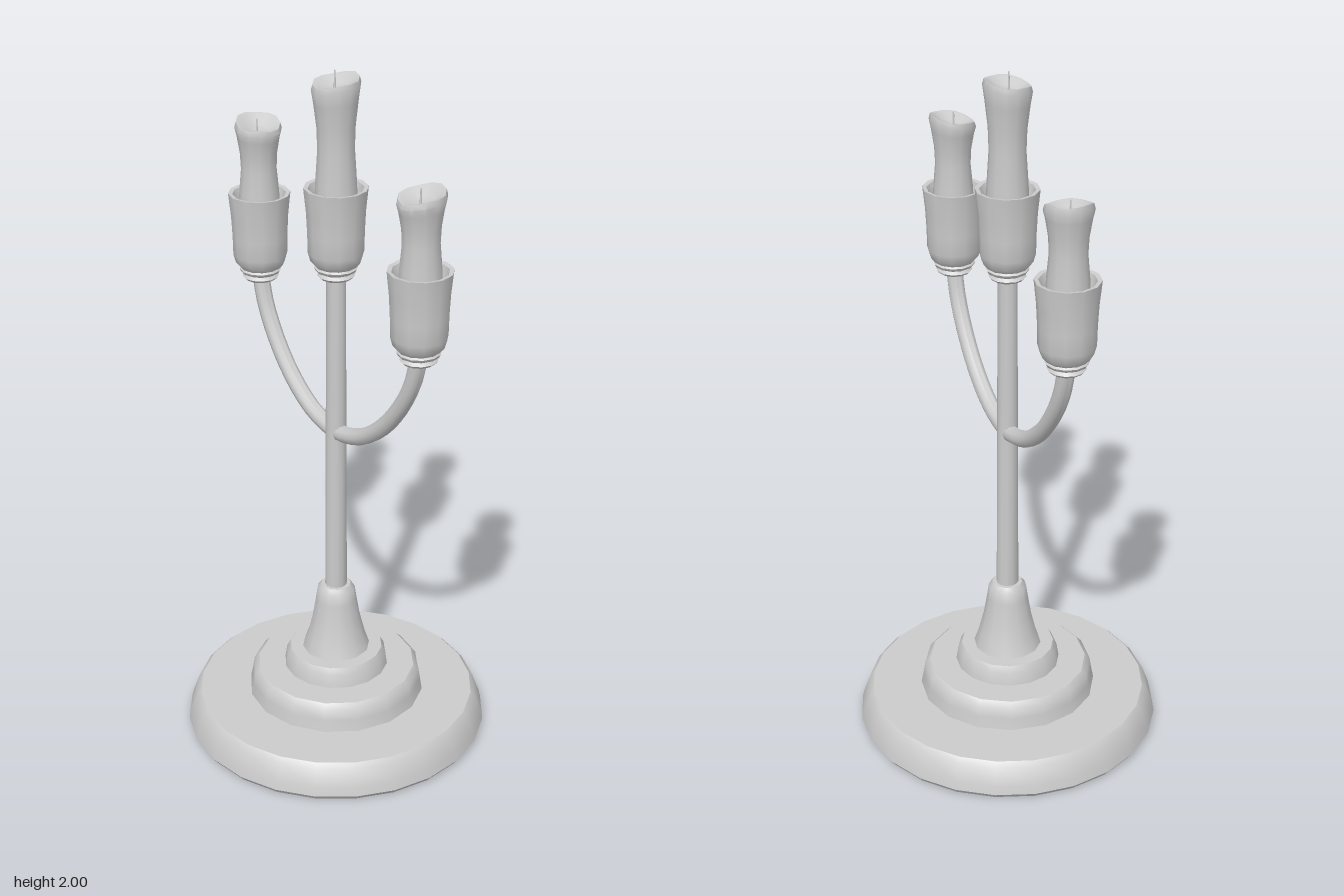
import * as THREE from 'three';
import { toCreasedNormals } from 'three/addons/utils/BufferGeometryUtils.js';

const material = new THREE.MeshStandardMaterial({ color: 0xcccccc });

function addMesh(parent, name, geometry, crease = 0.75) {
  const mesh = new THREE.Mesh(toCreasedNormals(geometry, crease), material);
  mesh.name = name;
  parent.add(mesh);
  return mesh;
}

// Profiles run from the bottom axis outwards and up, as [radius, height]
function lathe(points, sides) {
  return new THREE.LatheGeometry(points.map(([r, y]) => new THREE.Vector2(r, y)), sides);
}

// Candle with a waist, a hollow melted top and a slanted rim
function candleGeometry(bottom, top, tiltX, tiltZ) {
  const h = top - bottom;
  const geometry = lathe([
    [0, bottom - 0.02], [0.058, bottom - 0.02], [0.056, bottom + h * 0.1],
    [0.05, bottom + h * 0.4], [0.052, bottom + h * 0.6], [0.06, bottom + h * 0.82],
    [0.066, top - 0.015], [0.062, top], [0.054, top - 0.002],
    [0.032, top - 0.018], [0, top - 0.024],
  ], 12);
  const p = geometry.attributes.position;
  for (let i = 0; i < p.count; i++) {
    const t = Math.max(0, (p.getY(i) - bottom) / h);
    const w = t * t * t;
    const x = p.getX(i), z = p.getZ(i);
    const ripple = 0.05 * Math.sin(3 * Math.atan2(z, x)) * Math.hypot(x, z);
    p.setY(i, p.getY(i) + w * (tiltX * x + tiltZ * z + ripple));
  }
  return geometry;
}

// Socket collar, cup, candle and wick on top of a stem
function addHolder(parent, name, x, y, candleTop, wickTop, tiltX, tiltZ) {
  const holder = new THREE.Group();
  holder.name = name;
  holder.position.x = x;
  parent.add(holder);

  addMesh(holder, 'collar', lathe([
    [0, y], [0.044, y], [0.052, y + 0.008], [0.044, y + 0.016],
    [0.056, y + 0.022], [0.06, y + 0.03], [0.052, y + 0.038], [0, y + 0.038],
  ], 12));
  addMesh(holder, 'cup', lathe([
    [0, y + 0.036], [0.058, y + 0.036], [0.07, y + 0.05], [0.077, y + 0.075],
    [0.078, y + 0.13], [0.081, y + 0.19], [0.088, y + 0.258],
    [0.076, y + 0.256], [0.066, y + 0.225], [0, y + 0.225],
  ], 12));
  addMesh(holder, 'candle', candleGeometry(y + 0.24, candleTop, tiltX, tiltZ));

  const wickBase = candleTop - 0.04;
  const wick = addMesh(holder, 'wick',
    new THREE.CylinderGeometry(0.002, 0.004, wickTop - wickBase, 6));
  wick.position.set(0, (wickTop + wickBase) / 2, 0.004);
}

export function createModel() {
  const group = new THREE.Group();

  // Stepped round foot
  addMesh(group, 'base', lathe([
    [0, 0], [0.432, 0], [0.443, 0.015], [0.437, 0.04], [0.418, 0.092],
    [0.405, 0.105], [0, 0.107],
  ], 24));
  addMesh(group, 'middleTier', lathe([
    [0, 0.1], [0.26, 0.1], [0.252, 0.14], [0.247, 0.172], [0.232, 0.187], [0, 0.187],
  ], 16));
  addMesh(group, 'upperTier', lathe([
    [0, 0.18], [0.154, 0.18], [0.147, 0.225], [0.136, 0.244], [0, 0.244],
  ], 16));
  addMesh(group, 'stemFoot', lathe([
    [0, 0.24], [0.1, 0.24], [0.085, 0.285], [0.07, 0.345], [0.06, 0.405],
    [0.055, 0.44], [0.043, 0.455], [0, 0.455],
  ], 12));

  // Central stem
  const stem = addMesh(group, 'stem', new THREE.CylinderGeometry(0.027, 0.032, 1.0, 12));
  stem.position.y = 0.94;

  // Curved arms, mirrored left and right
  for (const side of [1, -1]) {
    const path = new THREE.CatmullRomCurve3([
      [0, 0.952], [0.06, 0.962], [0.13, 0.99], [0.22, 1.06],
      [0.295, 1.155], [0.338, 1.24], [0.357, 1.315],
    ].map(([x, y]) => new THREE.Vector3(side * x, y, 0)));
    addMesh(group, side > 0 ? 'leftArm' : 'rightArm',
      new THREE.TubeGeometry(path, 14, 0.024, 10, false), 1);
  }

  // Candle holders
  addHolder(group, 'centreHolder', 0, 1.422, 1.972, 2.0, 0.04, -0.15);
  addHolder(group, 'leftHolder', 0.357, 1.302, 1.765, 1.782, 0.03, -0.2);
  addHolder(group, 'rightHolder', -0.357, 1.302, 1.765, 1.775, -0.2, -0.05);

  return group;
}
